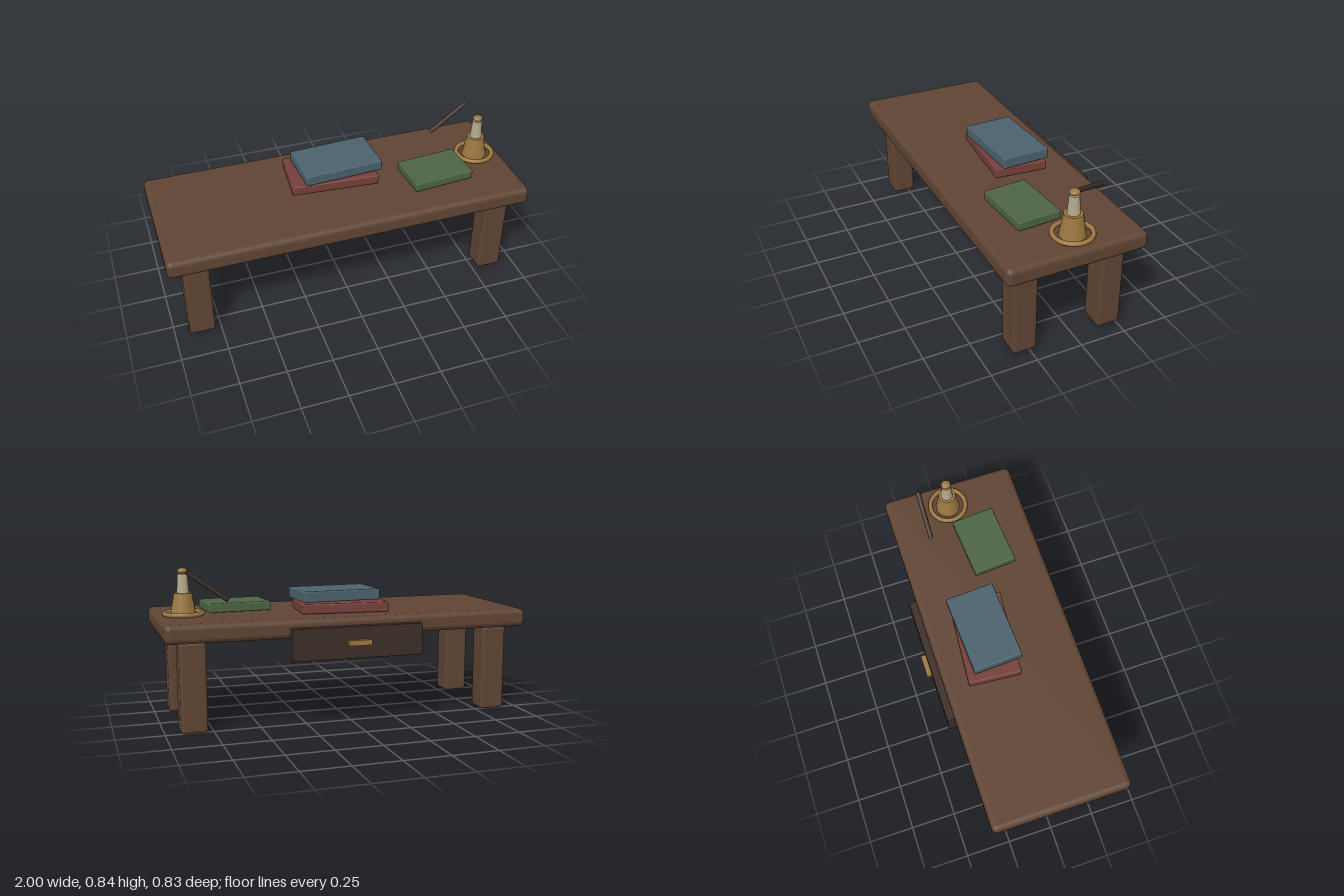
import * as THREE from 'three';
import { RoundedBoxGeometry } from 'three/addons/geometries/RoundedBoxGeometry.js';

const mat = (color) => new THREE.MeshStandardMaterial({ color });
const wood = mat(0x5f4433);
const darkWood = mat(0x3d2e28);
const brass = mat(0x9c7840);
const wax = mat(0xb5aa8c);

export function createModel() {
  const model = new THREE.Group();

  const add = (name, geometry, material, x, y, z) => {
    const mesh = new THREE.Mesh(geometry, material);
    mesh.name = name;
    mesh.position.set(x, y, z);
    model.add(mesh);
    return mesh;
  };
  const rounded = (w, h, d, r) => new RoundedBoxGeometry(w, h, d, 3, r);

  // Table
  add('tabletop', rounded(2, 0.1, 0.762, 0.03), wood, 0, 0.53, 0.034);
  for (const side of [1, -1]) {
    for (const [end, z] of [['front', 0.275], ['back', -0.205]]) {
      const name = end + (side > 0 ? 'Left' : 'Right') + 'Leg';
      add(name, rounded(0.14, 0.478, 0.13, 0.018), wood, side * 0.85, 0.239, z);
    }
  }

  // Drawer on the back edge, with its pull
  add('drawer', rounded(0.72, 0.171, 0.058, 0.004), darkWood, 0, 0.4525, -0.359);
  add('drawerHandle', new THREE.BoxGeometry(0.125, 0.029, 0.03), brass, 0, 0.454, -0.4);

  // Books: name, size, position, turn, colour
  const books = [
    ['lowerBook', [0.48, 0.054, 0.29], [0, 0.608, -0.058], -0.08, 0x753f3a],
    ['upperBook', [0.44, 0.06, 0.27], [0.033, 0.674, -0.053], 0.05, 0x4b616c],
    ['sideBook', [0.345, 0.05, 0.24], [0.556, 0.61, 0.12], 0.075, 0x4d6543],
  ];
  for (const [name, size, pos, turn, color] of books) {
    add(name, rounded(...size, 0.008), mat(color), ...pos).rotation.y = turn;
  }

  // Candlestick
  const cx = 0.855;
  add('candlestickRing', new THREE.TorusGeometry(0.101, 0.0125, 10, 32), brass, cx, 0.591, 0).rotation.x = Math.PI / 2;
  add('candlestickBase', new THREE.CylinderGeometry(0.048, 0.069, 0.12, 16), brass, cx, 0.64, 0);
  add('candle', new THREE.CylinderGeometry(0.026, 0.033, 0.102, 16), wax, cx, 0.75, 0);
  add('candleTip', new THREE.SphereGeometry(0.027, 20, 12), brass, cx, 0.816, 0).scale.y = 0.6;

  // Slanted pen
  add('pen', new THREE.CylinderGeometry(0.013, 0.013, 0.264, 10), darkWood, 0.75, 0.748, -0.161)
    .rotation.z = -Math.PI / 2 + 0.63;

  return model;
}
